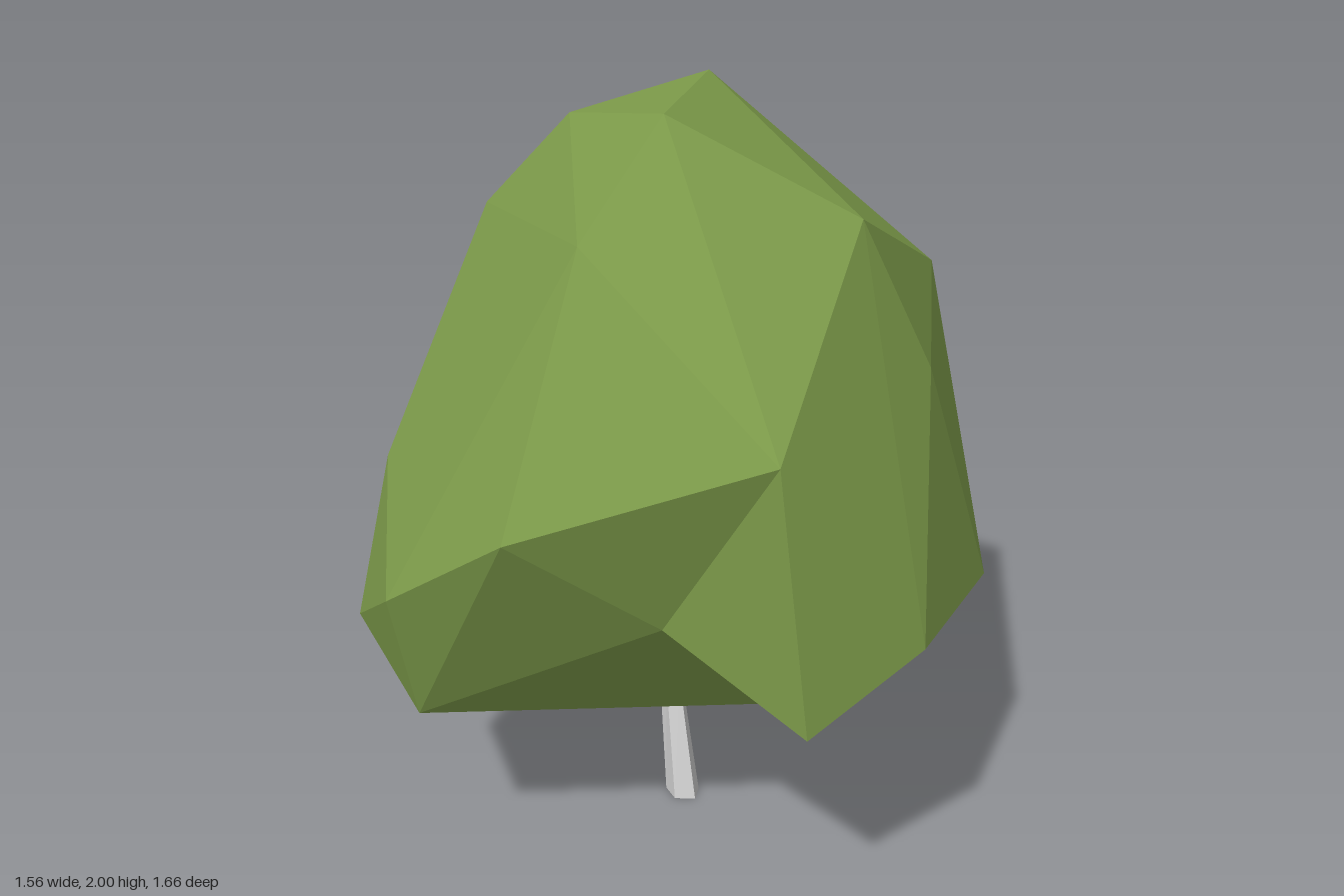
import * as THREE from 'three';
import { ConvexGeometry } from 'three/addons/geometries/ConvexGeometry.js';

// Corners of the faceted crown
const corners = {
  topFront: [0.09, 2.0, 0.26], topBack: [-0.11, 2.0, -0.24], topRight: [-0.27, 1.94, 0.13],
  shoulderRight: [-0.5, 1.7, 0.18], shoulderFront: [0.03, 1.75, 0.51], shoulderLeft: [0.48, 1.77, 0.04],
  shoulderBack: [0.32, 1.46, -0.7], sideLeft: [0.61, 1.4, -0.09], cheekLeft: [0.56, 1.36, 0.53],
  nose: [0.04, 1.16, 0.83], sideRight: [-0.78, 1.16, -0.16], cheekRight: [-0.57, 1.12, 0.53],
  backRight: [-0.65, 1.4, -0.33], back: [0, 1.07, -0.83], chin: [-0.33, 0.91, 0.82],
  jawRight: [-0.63, 0.69, 0.62], jawLeft: [0.63, 0.69, 0.5], hipLeft: [0.78, 0.84, 0.22],
  hipBack: [0.68, 0.75, -0.36], baseFront: [-0.36, 0.53, 0.71], baseLow: [-0.16, 0.46, 0.39],
  baseLeft: [0.39, 0.52, 0.15], baseSide: [0.5, 0.51, -0.08], baseBackLeft: [0.41, 0.58, -0.53],
  baseBack: [-0.21, 0.56, -0.69], baseBackRight: [-0.49, 0.6, -0.49], baseRight: [-0.56, 0.59, 0.28],
};
const dent = [0.27, 0.89, 0.55];
const rim = ['nose', 'baseFront', 'baseLeft', 'jawLeft', 'cheekLeft'];

// Convex hull of the corners, with the patch inside the rim replaced by a dent
function crownGeometry() {
  const hull = new ConvexGeometry(Object.values(corners).map((p) => new THREE.Vector3(...p)));
  const pos = hull.getAttribute('position');
  const patch = [...rim, 'baseLow'].map((name) => new THREE.Vector3(...corners[name]));
  const v = new THREE.Vector3();
  const inPatch = (i) => {
    v.fromBufferAttribute(pos, i);
    return patch.some((p) => p.distanceTo(v) < 1e-3);
  };
  const out = [];
  for (let i = 0; i < pos.count; i += 3) {
    if (inPatch(i) && inPatch(i + 1) && inPatch(i + 2)) continue;
    for (let k = i; k < i + 3; k++) out.push(pos.getX(k), pos.getY(k), pos.getZ(k));
  }
  rim.forEach((name, i) => {
    out.push(...dent, ...corners[name], ...corners[rim[(i + 1) % rim.length]]);
  });
  out.push(...corners.baseFront, ...corners.baseLow, ...corners.baseLeft);
  const geo = new THREE.BufferGeometry();
  geo.setAttribute('position', new THREE.Float32BufferAttribute(out, 3));
  geo.computeVertexNormals();
  return geo;
}

// Five-sided trunk bent at the middle: [x, y, z, half width, half depth] per ring
function trunkGeometry() {
  const rings = [
    [-0.03, 0, 0.01, 0.052, 0.043],
    [-0.105, 0.33, -0.045, 0.036, 0.025],
    [-0.01, 0.62, -0.015, 0.026, 0.016],
  ];
  const geo = new THREE.CylinderGeometry(1, 1, 2, 5, 2);
  const pos = geo.getAttribute('position');
  for (let i = 0; i < pos.count; i++) {
    const [x, y, z, w, d] = rings[Math.round(pos.getY(i)) + 1];
    pos.setXYZ(i, x + pos.getX(i) * w, y, z + pos.getZ(i) * d);
  }
  geo.computeVertexNormals();
  return geo;
}

export function createModel() {
  const tree = new THREE.Group();
  tree.name = 'tree';

  const crown = new THREE.Mesh(
    crownGeometry(),
    new THREE.MeshStandardMaterial({ color: 0x7d9b4a, flatShading: true }),
  );
  crown.name = 'crown';

  const trunk = new THREE.Mesh(
    trunkGeometry(),
    new THREE.MeshStandardMaterial({ color: 0xcccccc, flatShading: true }),
  );
  trunk.name = 'trunk';

  tree.add(crown, trunk);
  return tree;
}
